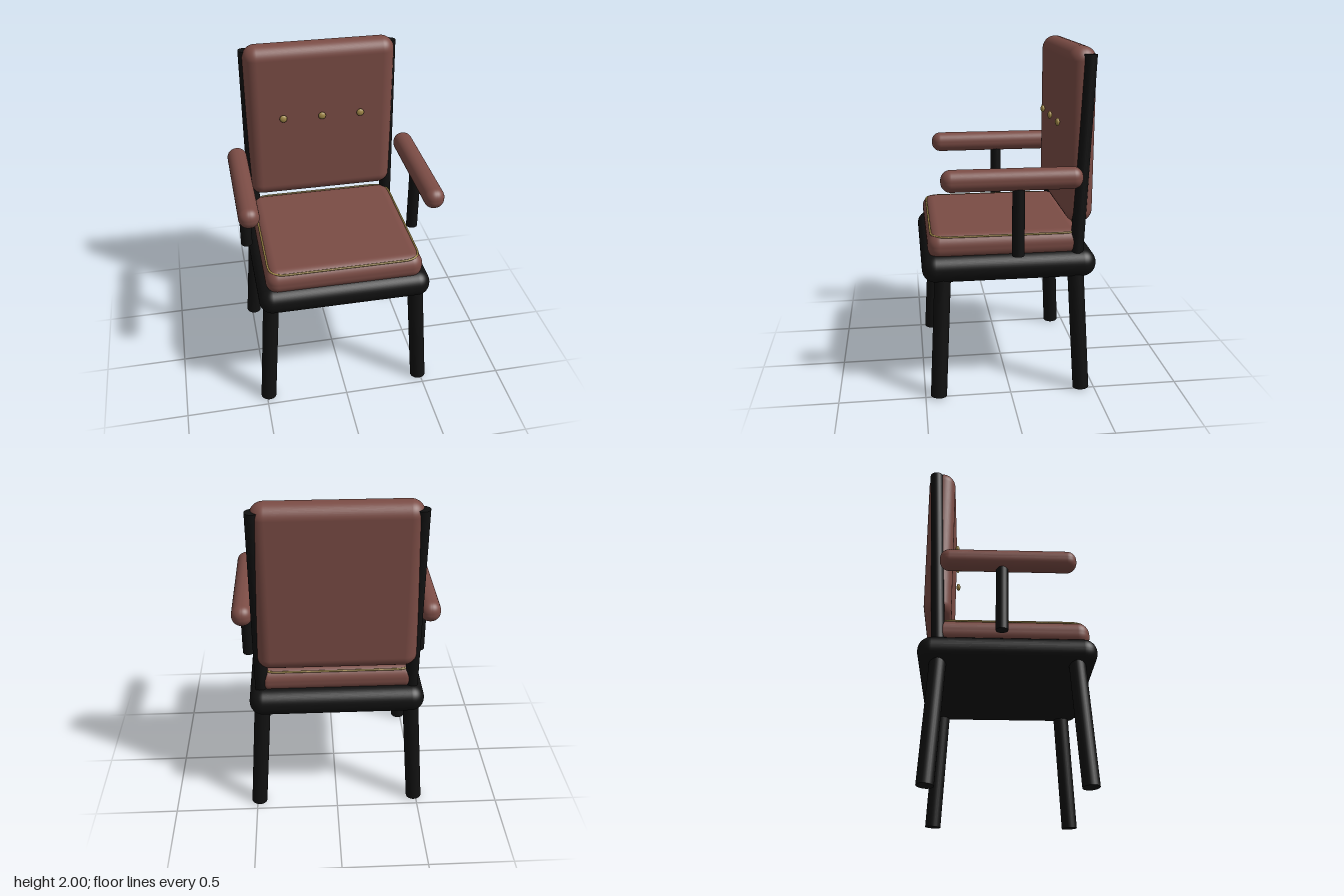
import * as THREE from 'three';
import { RoundedBoxGeometry } from 'three/addons/geometries/RoundedBoxGeometry.js';

const mat = (name, color) => {
  const m = new THREE.MeshStandardMaterial({ color });
  m.name = name;
  return m;
};

export function createModel() {
  const leather = mat('brown leather', 0x7b4c45);
  const wood = mat('black wood', 0x111111);
  const brass = mat('brass', 0xa08848);
  const group = new THREE.Group();

  const add = (name, geometry, material, x = 0, y = 0, z = 0) => {
    const mesh = new THREE.Mesh(geometry, material);
    mesh.name = name;
    mesh.position.set(x, y, z);
    group.add(mesh);
    return mesh;
  };
  const softBox = (name, material, size, radius, pos) =>
    add(name, new RoundedBoxGeometry(...size, 6, radius), material, ...pos);

  // Round bar between two points
  const bar = (name, from, to, radius) => {
    const a = new THREE.Vector3(...from), b = new THREE.Vector3(...to);
    const dir = b.clone().sub(a);
    const mesh = add(name, new THREE.CylinderGeometry(radius, radius, dir.length(), 24), wood);
    mesh.position.copy(a).add(b).multiplyScalar(0.5);
    mesh.quaternion.setFromUnitVectors(new THREE.Vector3(0, 1, 0), dir.normalize());
  };

  // Seat and back
  softBox('seatFrame', wood, [1.02, 0.16, 1.0], 0.078, [0, 0.774, 0]);
  softBox('seatCushion', leather, [0.93, 0.155, 0.89], 0.07, [0, 0.8965, 0.02]);
  softBox('backCushion', leather, [0.91, 0.995, 0.16], 0.078, [0, 1.5025, -0.4]);

  // Piping around the top of the seat cushion
  const hx = 0.445, hz = 0.425, r = 0.1;
  const path = new THREE.CurvePath();
  const at = (x, z) => new THREE.Vector3(x, 0, z);
  const corners = [[1, 1], [-1, 1], [-1, -1], [1, -1]];
  corners.forEach(([sx, sz], i) => {
    const along = i % 2 === 0; // arrive along z on even corners, along x on odd ones
    const sideZ = at(sx * hx, sz * (hz - r)), sideX = at(sx * (hx - r), sz * hz);
    const [start, end] = along ? [sideZ, sideX] : [sideX, sideZ];
    path.add(new THREE.QuadraticBezierCurve3(start, at(sx * hx, sz * hz), end));
    const [nx, nz] = corners[(i + 1) % 4];
    path.add(new THREE.LineCurve3(end, along ? at(nx * (hx - r), nz * hz) : at(nx * hx, nz * (hz - r))));
  });
  add('seatPiping', new THREE.TubeGeometry(path, 160, 0.006, 8, true), brass, 0, 0.96, 0.02);

  // Legs, back posts and arms on both sides
  for (const s of [1, -1]) {
    const side = s > 0 ? 'left' : 'right';
    bar(side + 'FrontLeg', [s * 0.488, 0.003, 0.423], [s * 0.437, 0.74, 0.383], 0.047);
    bar(side + 'BackLeg', [s * 0.488, 0.003, -0.423], [s * 0.437, 0.74, -0.383], 0.047);
    bar(side + 'BackPost', [s * 0.437, 0.8, -0.386], [s * 0.437, 1.96, -0.434], 0.038);
    bar(side + 'ArmSupport', [s * 0.528, 0.865, -0.035], [s * 0.528, 1.28, -0.035], 0.035);
    softBox(side + 'Armrest', leather, [0.118, 0.122, 0.78], 0.056, [s * 0.529, 1.304, 0]);
  }

  // Tufting buttons
  for (const x of [-0.237, 0, 0.237]) {
    add('backButton', new THREE.SphereGeometry(0.023, 20, 14), brass, x, 1.56, -0.3).scale.z = 0.57;
  }
  return group;
}
